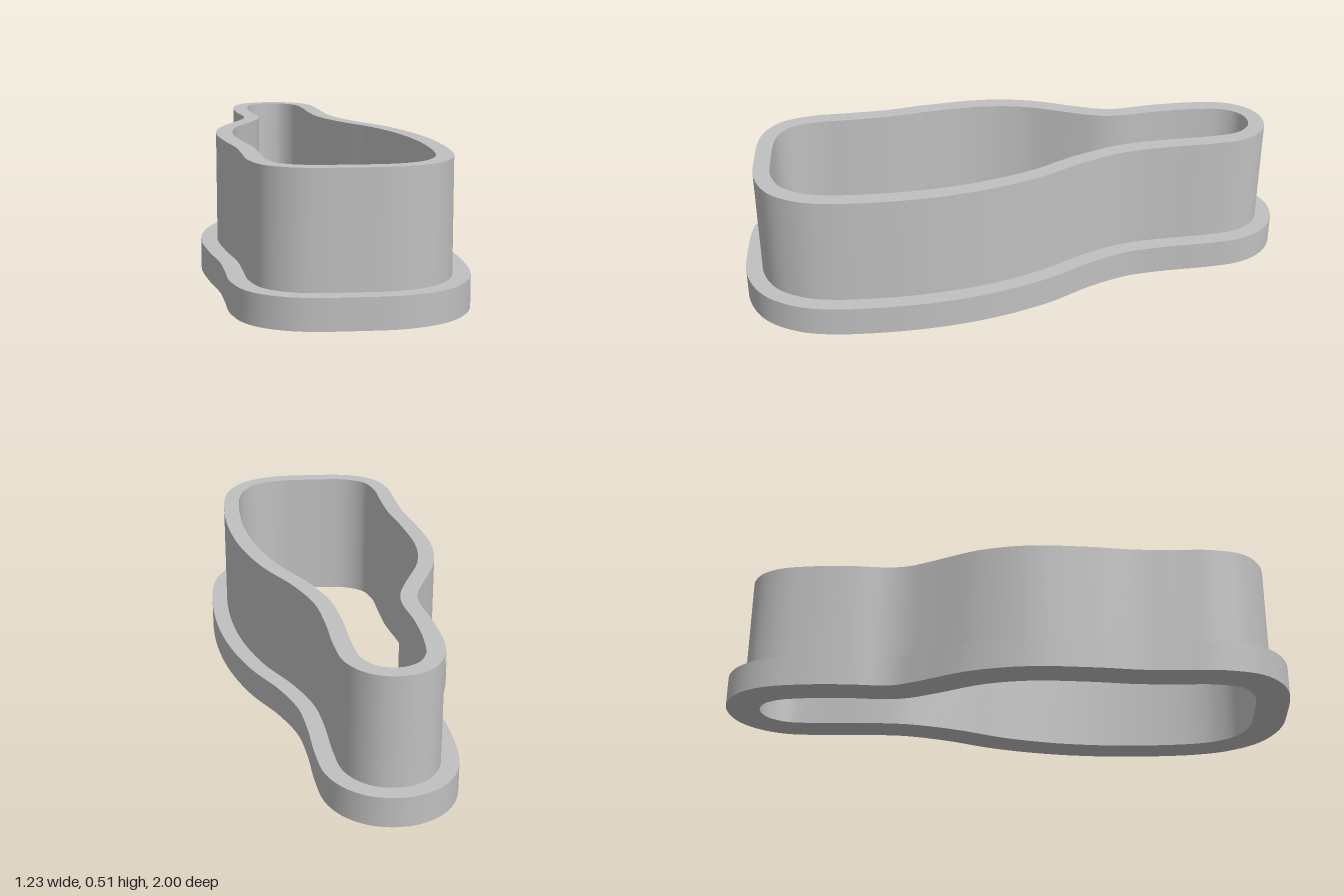
import * as THREE from 'three';

// Outline of the wall's outer face, seen from above as [x, z]
const OUTLINE = [
  [-0.385, -0.94], [-0.31, -0.92], [-0.245, -0.865], [-0.19, -0.757], [-0.125, -0.59],
  [-0.055, -0.445], [0.055, -0.307], [0.2, -0.167], [0.33, 0.005], [0.43, 0.19],
  [0.505, 0.386], [0.546, 0.545], [0.55, 0.645], [0.515, 0.755], [0.425, 0.84],
  [0.29, 0.892], [0.09, 0.935], [-0.025, 0.9], [-0.1, 0.805], [-0.155, 0.67],
  [-0.21, 0.535], [-0.29, 0.385], [-0.38, 0.18], [-0.413, 0], [-0.4, -0.2],
  [-0.397, -0.295], [-0.414, -0.365], [-0.473, -0.487], [-0.53, -0.64],
  [-0.554, -0.76], [-0.535, -0.85], [-0.475, -0.915],
];
const SEGMENTS = 240;
const OUTER = 0.062, INNER = -0.061; // sideways offsets from the outline
const LEDGE = 0.11, TOP = 0.513; // heights

export function createModel() {
  const group = new THREE.Group();
  const grey = new THREE.MeshStandardMaterial({ color: 0xc0c0c0 });
  grey.name = 'grey';

  const curve = new THREE.CatmullRomCurve3(
    OUTLINE.map(([x, z]) => new THREE.Vector3(x, 0, z)), true, 'centripetal');
  const frames = [];
  for (let i = 0; i < SEGMENTS; i++) {
    frames.push({ p: curve.getPointAt(i / SEGMENTS), t: curve.getTangentAt(i / SEGMENTS) });
  }

  // Sweep [offset, height] profile points round the outline, with sharp edges between strips
  function sweep(name, profile) {
    const positions = [], indices = [];
    for (let s = 0; s < profile.length - 1; s++) {
      const base = positions.length / 3;
      for (const { p, t } of frames) {
        for (const [offset, y] of [profile[s], profile[s + 1]]) {
          positions.push(p.x + t.z * offset, y, p.z - t.x * offset);
        }
      }
      for (let i = 0; i < SEGMENTS; i++) {
        const a = base + 2 * i, b = base + 2 * ((i + 1) % SEGMENTS);
        indices.push(a, a + 1, b, a + 1, b + 1, b);
      }
    }
    const geometry = new THREE.BufferGeometry();
    geometry.setAttribute('position', new THREE.Float32BufferAttribute(positions, 3));
    geometry.setIndex(indices);
    geometry.computeVertexNormals();
    const mesh = new THREE.Mesh(geometry, grey);
    mesh.name = name;
    group.add(mesh);
  }

  // Wide rim at the base: underside, outer side and ledge
  sweep('baseRim', [[INNER, 0], [OUTER, 0], [OUTER, LEDGE], [0, LEDGE]]);
  // Tall wall: outer face, top edge and full-height inner face
  sweep('wall', [[0, LEDGE], [0, TOP], [INNER, TOP], [INNER, 0]]);

  return group;
}
